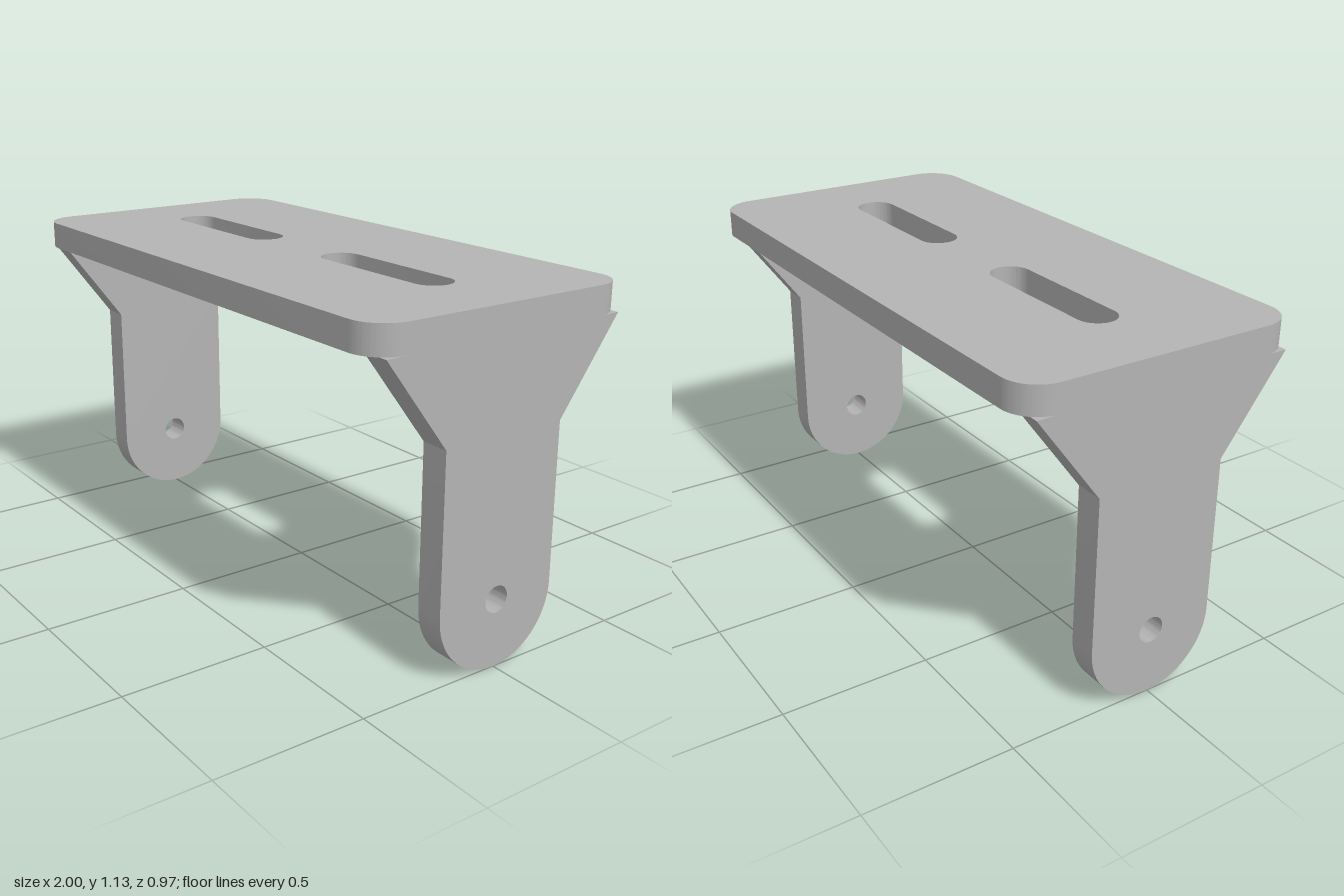
import * as THREE from 'three';
import { toCreasedNormals } from 'three/addons/utils/BufferGeometryUtils.js';

const steel = new THREE.MeshStandardMaterial({ color: 0xb4b4b4 });
steel.name = 'grey steel';

// Extrude a flat outline; arcs become smooth, corners stay sharp
function slab(shape, depth) {
  const geometry = new THREE.ExtrudeGeometry(shape, { depth, bevelEnabled: false, curveSegments: 20 });
  return toCreasedNormals(geometry, 0.5);
}

// Rounded rectangle outline, also used for the slots
function roundedRect(path, cx, halfW, halfH, r) {
  path.absarc(cx + halfW - r, halfH - r, r, 0, Math.PI / 2);
  path.absarc(cx - halfW + r, halfH - r, r, Math.PI / 2, Math.PI);
  path.absarc(cx - halfW + r, -halfH + r, r, Math.PI, Math.PI * 1.5);
  path.absarc(cx + halfW - r, -halfH + r, r, Math.PI * 1.5, Math.PI * 2);
  path.closePath();
  return path;
}

export function createModel() {
  const group = new THREE.Group();
  group.name = 'mountingBracket';
  const plateBottom = 1.042, plateThickness = 0.092, legThickness = 0.095;

  // Top plate with two long slots
  const plateShape = roundedRect(new THREE.Shape(), 0, 1, 0.483, 0.115);
  for (const side of [-1, 1]) {
    plateShape.holes.push(roundedRect(new THREE.Path(), side * 0.446, 0.288, 0.067, 0.0669));
  }
  const plate = new THREE.Mesh(slab(plateShape, plateThickness).rotateX(-Math.PI / 2), steel);
  plate.name = 'topPlate';
  plate.position.y = plateBottom;
  group.add(plate);

  // Side legs: flared top, round foot, bolt hole
  const legShape = new THREE.Shape();
  legShape.moveTo(-0.445, plateBottom);
  legShape.lineTo(-0.224, 0.745);
  legShape.lineTo(-0.224, 0.224);
  legShape.absarc(0, 0.224, 0.224, Math.PI, Math.PI * 2);
  legShape.lineTo(0.224, 0.745);
  legShape.lineTo(0.445, plateBottom);
  legShape.closePath();
  legShape.holes.push(new THREE.Path().absarc(0, 0.225, 0.044, 0, Math.PI * 2, true));
  const legGeometry = slab(legShape, legThickness)
    .translate(0, 0, -legThickness / 2)
    .rotateY(-Math.PI / 2);
  for (const side of [-1, 1]) {
    const leg = new THREE.Mesh(legGeometry, steel);
    leg.name = side > 0 ? 'leftLeg' : 'rightLeg';
    leg.position.x = side * (1 - legThickness / 2);
    group.add(leg);
  }
  return group;
}
